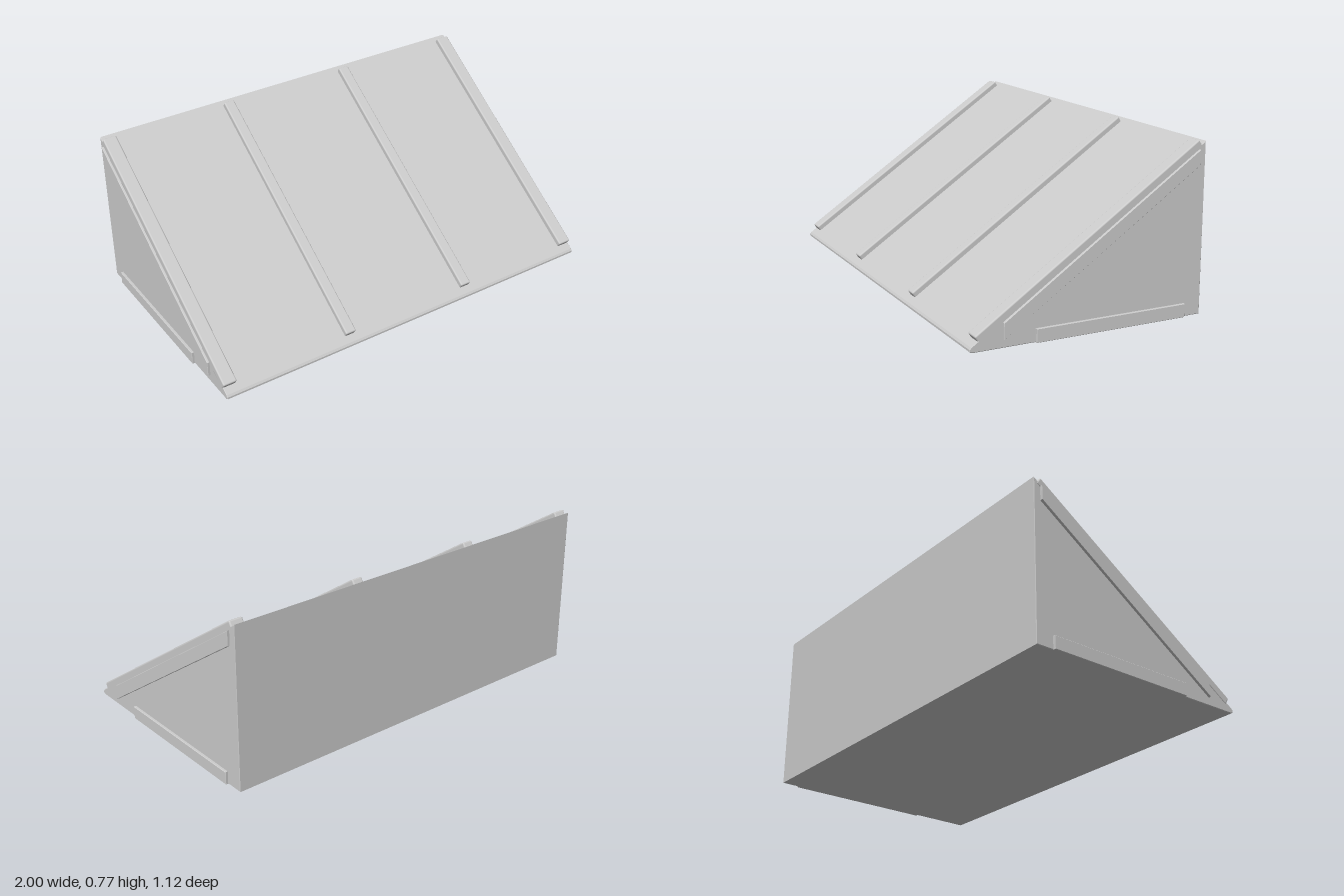
import * as THREE from 'three';
import { RoundedBoxGeometry } from 'three/addons/geometries/RoundedBoxGeometry.js';

const SLOPE = Math.atan2(0.75, 1.115); // pitch of the front face
const NORMAL = new THREE.Vector3(0, Math.cos(SLOPE), Math.sin(SLOPE));

// Extrude a side profile of [z, y] points from x = x0 to x = x1, with a fine chamfer
function profile(points, x0, x1, bevel) {
  const shape = new THREE.Shape(points.map(([z, y]) => new THREE.Vector2(-z, y)));
  const geo = new THREE.ExtrudeGeometry(shape, {
    depth: x1 - x0 - 2 * bevel,
    bevelEnabled: true,
    bevelThickness: bevel,
    bevelSize: bevel,
    bevelOffset: -bevel,
    bevelSegments: 1,
  });
  geo.translate(0, 0, x0 + bevel);
  geo.rotateY(Math.PI / 2);
  return geo;
}

export function createModel() {
  const group = new THREE.Group();
  const grey = new THREE.MeshStandardMaterial({ color: 0xcccccc });
  grey.name = 'light grey';

  const add = (name, geo) => {
    const mesh = new THREE.Mesh(geo, grey);
    mesh.name = name;
    group.add(mesh);
    return mesh;
  };

  // Solid wedge with a blunt front lip
  add('wedgeBody', profile(
    [[0.548, 0], [0.56, 0.007], [0.56, 0.016], [0.553, 0.025], [-0.555, 0.77], [-0.555, 0]],
    -0.988, 0.988, 0.003));

  // Raised battens running up the slope
  const battens = [[-0.957, 0.066], [-0.332, 0.053], [0.327, 0.053], [0.955, 0.066]];
  for (const [x, width] of battens) {
    const batten = add('slopeBatten', new RoundedBoxGeometry(width, 0.04, 1.275, 3, 0.007));
    batten.rotation.x = SLOPE;
    batten.position.set(x, 0.401, -0.006).addScaledVector(NORMAL, 0.005);
  }

  // Thin trim on both ends: a sloping rail and a base rail
  for (const side of [-1, 1]) {
    const x0 = side > 0 ? 0.98 : -1;
    add('slopingSideRail', profile(
      [[0.41, 0.037], [0.41, 0.109], [-0.522, 0.736], [-0.522, 0.667]], x0, x0 + 0.02, 0.002));
    add('baseSideRail', profile(
      [[0.26, 0], [0.26, 0.061], [-0.47, 0.061], [-0.47, 0]], x0, x0 + 0.02, 0.002));
  }
  return group;
}
